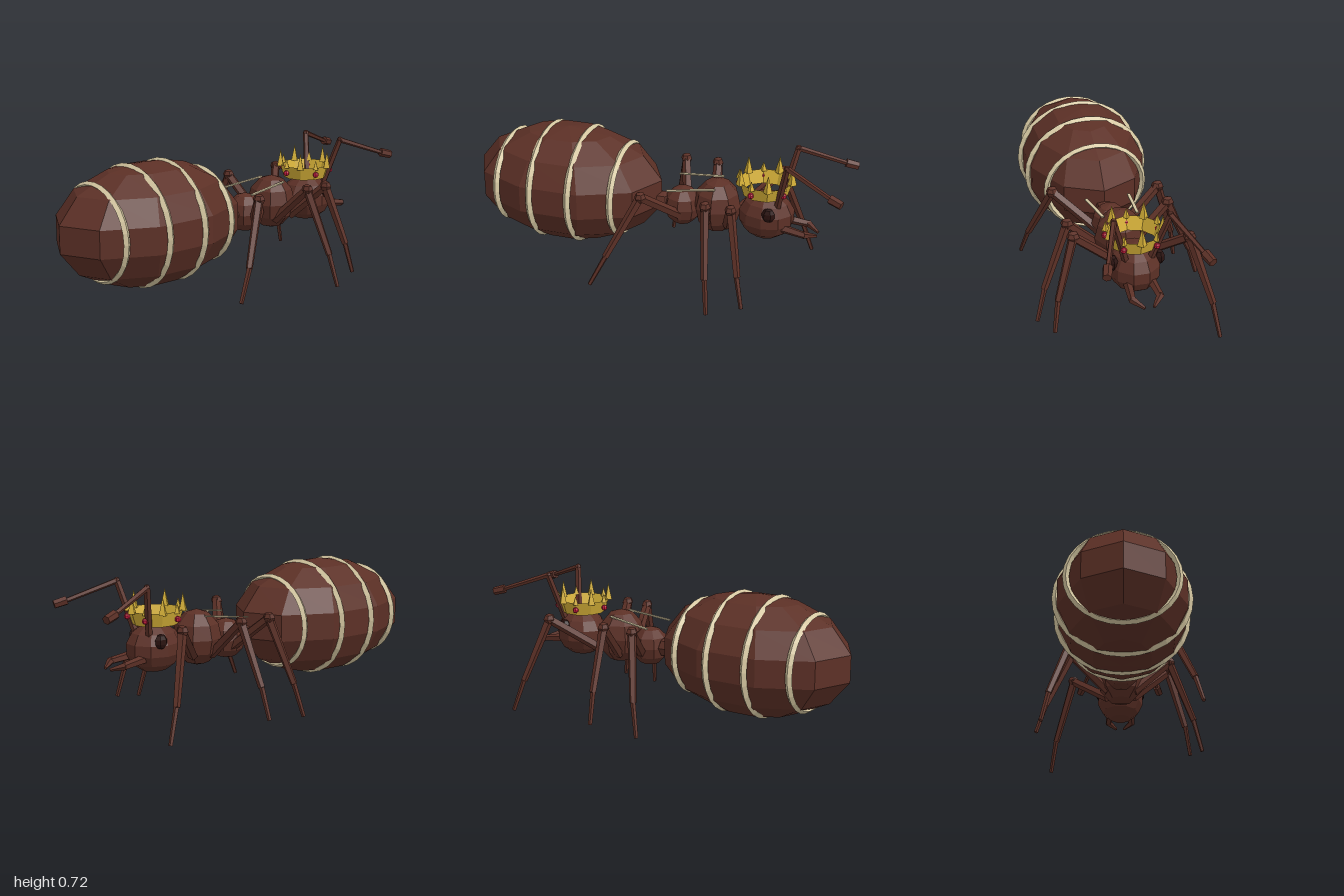
import * as THREE from 'three';

const mat = (name, color) => {
  const m = new THREE.MeshStandardMaterial({ color, flatShading: true });
  m.name = name;
  return m;
};
const V = (a) => new THREE.Vector3(...a);

export function createModel() {
  const root = new THREE.Group();
  root.name = 'queenAnt';
  const brown = mat('chitin brown', 0x5c3026);
  const dark = mat('eye dark brown', 0x2a120f);
  const cream = mat('band cream', 0xd6c8a2);
  const gold = mat('crown gold', 0xd4af37);
  const red = mat('gem red', 0xc01a3c);
  gold.side = THREE.DoubleSide;

  const add = (name, geo, material, pos, parent = root) => {
    const m = new THREE.Mesh(geo, material);
    m.name = name;
    m.position.set(...pos);
    parent.add(m);
    return m;
  };
  // faceted ellipsoid
  const blob = (name, pos, r, w = 10, h = 7, material = brown, turn = 0, parent = root) => {
    const g = new THREE.SphereGeometry(1, w, h).rotateY(turn).scale(...r);
    return add(name, g, material, pos, parent);
  };
  // tapered rod from a to b
  const rod = (name, a, b, ra, rb, parent, sides = 5) => {
    const d = V(b).sub(V(a));
    const m = add(name, new THREE.CylinderGeometry(rb, ra, d.length(), sides), brown,
      V(a).add(V(b)).multiplyScalar(0.5).toArray(), parent);
    m.quaternion.setFromUnitVectors(new THREE.Vector3(0, 1, 0), d.normalize());
    return m;
  };
  const group = (name) => {
    const g = new THREE.Group();
    g.name = name;
    root.add(g);
    return g;
  };

  // body
  blob('abdomen', [-0.487, 0.415, 0], [0.526, 0.31, 0.335]);
  blob('petiole', [0.03, 0.37, 0], [0.06, 0.055, 0.055], 6, 4);
  blob('rearThorax', [0.14, 0.365, 0], [0.1, 0.105, 0.1], 8, 6);
  blob('frontThorax', [0.325, 0.395, 0], [0.125, 0.145, 0.13], 8, 6);
  blob('head', [0.585, 0.38, 0], [0.145, 0.125, 0.13], 10, 7, brown, Math.PI / 10);

  // abdomen bands
  [[-0.8, 0.236, 0.264], [-0.59, 0.293, 0.32], [-0.38, 0.293, 0.32], [-0.17, 0.236, 0.264]]
    .forEach(([x, ry, rz]) => {
      const g = new THREE.TorusGeometry(1, 0.06, 4, 28).rotateY(Math.PI / 2);
      const p = g.attributes.position;
      // widen the ring section into a flat band of fixed width
      for (let i = 0; i < p.count; i++) {
        p.setX(i, Math.sign(Math.round(p.getX(i) * 1e4)) * 0.018);
      }
      g.scale(1, ry, rz);
      add('abdomenBand', g, cream, [x, 0.415, 0]);
    });

  // wing stubs: thin slivers on both sides of the thorax
  for (const s of [-1, 1]) {
    const wing = add('wingStub', new THREE.BoxGeometry(0.25, 0.006, 0.016), cream, [0.21, 0.5, s * 0.1]);
    wing.rotation.set(0, s * 0.1, 0.12);
  }

  // legs: hip, knee and foot for each
  const legs = [
    ['leftRearLeg', [0.15, 0.33, -0.06], [0.075, 0.505, -0.27], [-0.04, 0.005, -0.41]],
    ['leftMiddleLeg', [0.29, 0.31, -0.07], [0.25, 0.505, -0.27], [0.215, 0.04, -0.45]],
    ['leftFrontLeg', [0.4, 0.32, -0.07], [0.6, 0.505, -0.27], [0.76, 0.005, -0.395]],
    ['rightRearLeg', [0.15, 0.33, 0.06], [0, 0.505, 0.27], [-0.23, 0.04, 0.405]],
    ['rightMiddleLeg', [0.29, 0.31, 0.07], [0.335, 0.505, 0.27], [0.4, 0.005, 0.445]],
    ['rightFrontLeg', [0.4, 0.32, 0.07], [0.465, 0.505, 0.27], [0.565, 0.04, 0.39]],
  ];
  for (const [name, hip, knee, foot] of legs) {
    const g = group(name);
    const ankle = V(knee).lerp(V(foot), 0.66).toArray();
    ankle[2] += Math.sign(foot[2]) * 0.015;
    rod('thigh', hip, knee, 0.026, 0.024, g);
    blob('knee', knee, [0.03, 0.03, 0.034], 6, 4, brown, 0, g);
    rod('shin', knee, ankle, 0.024, 0.018, g);
    rod('foot', ankle, foot, 0.014, 0.011, g);
  }

  // paired head parts
  for (const s of [-1, 1]) {
    blob('eye', [0.618, 0.43, s * 0.115], [0.035, 0.038, 0.026], 6, 5, dark);

    const antenna = group('antenna');
    const elbow = [0.705, 0.705, s * 0.135];
    rod('antennaBase', [0.65, 0.45, s * 0.06], elbow, 0.018, 0.016, antenna);
    blob('antennaElbow', elbow, [0.017, 0.017, 0.017], 6, 4, brown, 0, antenna);
    rod('antennaWhip', elbow, [0.95, 0.615, s * 0.228], 0.015, 0.012, antenna);
    rod('antennaTip', [0.935, 0.62, s * 0.224], [0.995, 0.603, s * 0.243], 0.024, 0.022, antenna, 6);

    const mandible = group('mandible');
    rod('mandibleArm', [0.66, 0.345, s * 0.055], [0.8, 0.325, s * 0.068], 0.024, 0.018, mandible);
    rod('mandibleHook', [0.79, 0.327, s * 0.07], [0.85, 0.308, s * 0.022], 0.02, 0.008, mandible);
  }

  // crown: flared open ring, alternating tall and short spikes, gems below the short ones
  const crown = group('crown');
  crown.position.set(0.572, 0, 0);
  add('crownRing', new THREE.CylinderGeometry(0.137, 0.115, 0.07, 10, 1, true).rotateY(Math.PI / 10),
    gold, [0, 0.533, 0], crown);
  for (let i = 0; i < 10; i++) {
    const a = (i * Math.PI) / 5;
    const c = Math.cos(a), s = Math.sin(a);
    const short = i % 2 === 1;
    const h = short ? 0.05 : 0.09;
    add('crownSpike', new THREE.ConeGeometry(short ? 0.018 : 0.024, h, 4), gold,
      [c * 0.135, 0.56 + h / 2, s * 0.135], crown);
    if (short) blob('crownGem', [c * 0.138, 0.532, s * 0.138], [0.016, 0.016, 0.016], 7, 5, red, 0, crown);
  }
  return root;
}
